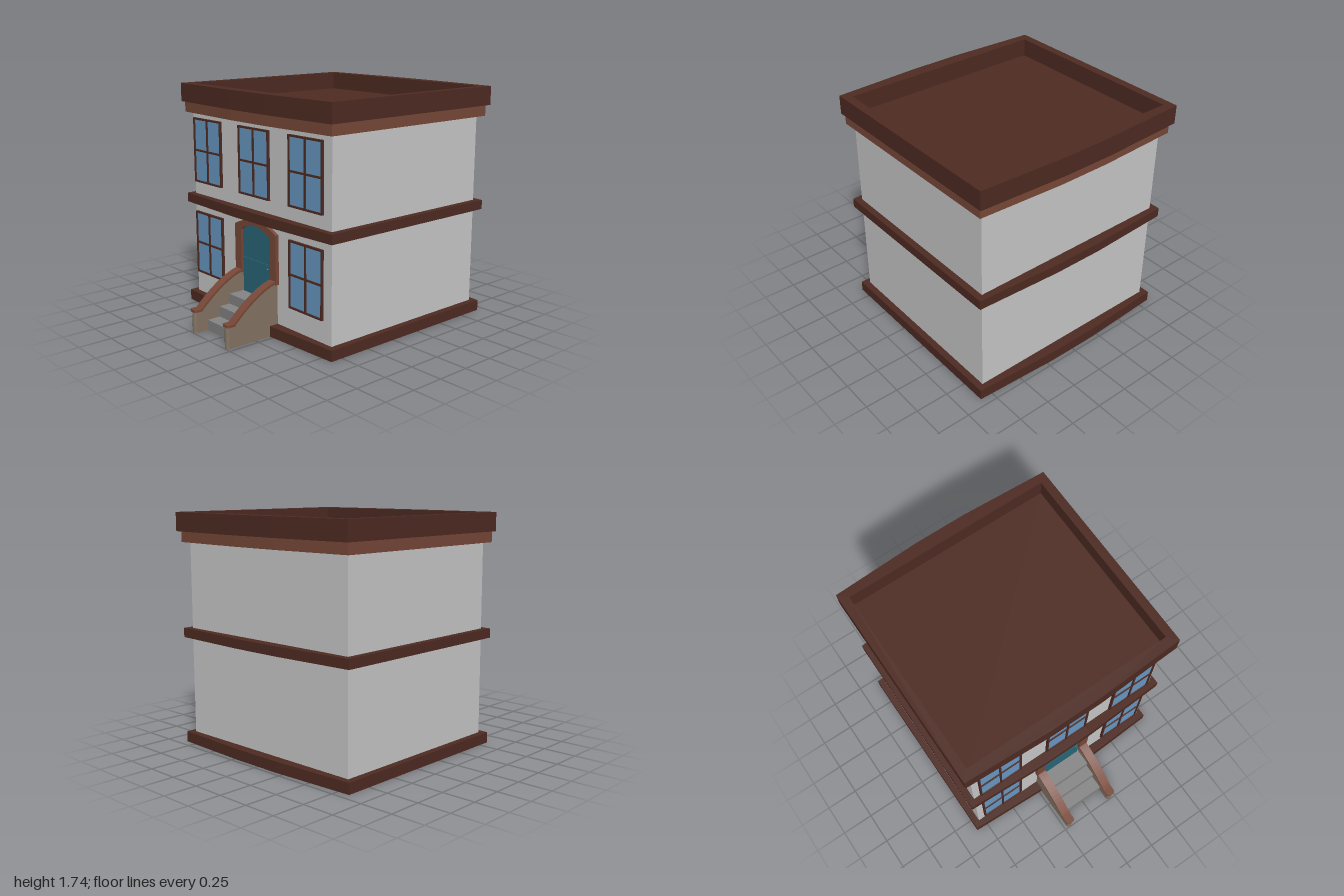
import * as THREE from 'three';

const mat = (name, color) => {
  const m = new THREE.MeshStandardMaterial({ color });
  m.name = name;
  return m;
};

export function createModel() {
  const house = new THREE.Group();
  house.name = 'townhouse';
  const wall = mat('pale wall', 0xc9c9c9);
  const brown = mat('dark brown trim', 0x4e2b22);
  const brick = mat('brick trim', 0x784838);
  const glass = mat('window glass', 0x6a9ac5);
  const teal = mat('door teal', 0x2a687a);
  const stone = mat('step stone', 0x858585);
  const tan = mat('tan stone', 0x857463);

  const add = (name, geo, m, x = 0, y = 0, z = 0, parent = house) => {
    const mesh = new THREE.Mesh(geo, m);
    mesh.name = name;
    mesh.position.set(x, y, z);
    parent.add(mesh);
    return mesh;
  };
  // Box given by its limits on each axis
  const box = (name, m, x0, x1, y0, y1, z0, z1, parent) =>
    add(name, new THREE.BoxGeometry(x1 - x0, y1 - y0, z1 - z0), m,
      (x0 + x1) / 2, (y0 + y1) / 2, (z0 + z1) / 2, parent);
  const extrude = (shape, depth) =>
    new THREE.ExtrudeGeometry(shape, { depth, bevelEnabled: false, curveSegments: 12 });
  const poly = pts => new THREE.Shape(pts.map(p => new THREE.Vector2(...p)));
  const rect = (x0, x1, y0, y1) => poly([[x0, y0], [x1, y0], [x1, y1], [x0, y1]]);

  // Walls
  box('walls', wall, -0.795, 0.795, 0.02, 1.58, -0.895, 0.55);

  // Horizontal bands, bowed outward at front and back
  const band = (name, m, hx, front, back, y0, y1, hole) => {
    const s = poly([[-hx, -front], [-0.2, -front - 0.03], [0.2, -front - 0.03], [hx, -front],
      [hx, -back], [0.2, -back + 0.03], [-0.2, -back + 0.03], [-hx, -back]]);
    if (hole) s.holes.push(hole);
    add(name, extrude(s, y1 - y0).rotateX(-Math.PI / 2), m, 0, y0, 0);
  };
  band('baseBand', brown, 0.845, 0.595, -0.94, 0, 0.08);
  band('middleBand', brown, 0.845, 0.595, -0.94, 0.81, 0.88);
  band('lowerCornice', brick, 0.84, 0.595, -0.94, 1.52, 1.6);
  band('parapet', brown, 0.86, 0.615, -0.97, 1.6, 1.74, rect(-0.795, 0.795, -0.545, 0.905));
  box('roofFloor', brown, -0.8, 0.8, 1.597, 1.605, -0.91, 0.55);

  // Windows: glass plate behind a four-pane frame
  const addWindow = (x, y0, y1) => {
    const g = new THREE.Group();
    g.name = 'window';
    g.position.set(x, 0, 0);
    house.add(g);
    const hw = 0.175, t = 0.014, h = 0.007, ym = (y0 + y1) / 2;
    const frame = rect(-hw, hw, y0, y1);
    for (const [a, b] of [[-hw + t, -h], [h, hw - t]])
      for (const [c, d] of [[y0 + t, ym - h], [ym + h, y1 - t]])
        frame.holes.push(rect(a, b, c, d));
    add('windowFrame', extrude(frame, 0.018), brown, 0, 0, 0.568, g);
    box('windowGlass', glass, -hw + 0.005, hw - 0.005, y0 + 0.005, y1 - 0.005, 0.57, 0.577, g);
  };
  for (const x of [-0.575, -0.005, 0.56]) addWindow(x, 0.985, 1.483);
  for (const x of [-0.575, 0.56]) addWindow(x, 0.255, 0.75);

  // Door with arched top, rails and knob
  const entry = new THREE.Group();
  entry.name = 'entry';
  entry.position.x = -0.004;
  house.add(entry);
  const arch = (path, hw, y0, spring, peak) => {
    path.moveTo(-hw, y0);
    path.lineTo(-hw, spring);
    path.quadraticCurveTo(0, 2 * peak - spring, hw, spring);
    path.lineTo(hw, y0);
    path.closePath();
    return path;
  };
  add('door', extrude(arch(new THREE.Shape(), 0.166, 0.22, 0.716, 0.768), 0.012), teal, 0, 0, 0.549, entry);
  box('doorRail', teal, -0.16, 0.16, 0.485, 0.505, 0.555, 0.567, entry);
  add('doorKnob', new THREE.SphereGeometry(0.009, 12, 8), teal, 0.135, 0.47, 0.569, entry);

  // Arched door surround
  const surround = new THREE.Shape();
  surround.moveTo(-0.24, 0.38);
  surround.lineTo(-0.24, 0.745);
  surround.quadraticCurveTo(0, 0.873, 0.24, 0.745);
  surround.lineTo(0.24, 0.38);
  surround.lineTo(0.165, 0.38);
  surround.lineTo(0.165, 0.716);
  surround.quadraticCurveTo(0, 0.82, -0.165, 0.716);
  surround.lineTo(-0.165, 0.38);
  surround.closePath();
  add('doorSurround', extrude(surround, 0.03), brick, 0, 0, 0.548, entry);

  // Steps
  [[0, 0.08, 0.885], [0.08, 0.16, 0.78], [0.16, 0.237, 0.69]].forEach(([y0, y1, z]) =>
    box('step', stone, -0.178, 0.178, y0, y1, 0.55, z));

  // Stair sides: stone cheek, rounded end and sweeping cap
  const sweep = new THREE.SplineCurve([[0.94, 0.178], [0.9, 0.217], [0.82, 0.283], [0.74, 0.337],
    [0.66, 0.379], [0.6, 0.401], [0.55, 0.412]].map(p => new THREE.Vector2(...p)))
    .getPoints(16).map(p => [p.x, p.y]);
  const under = sweep.map(([z, y]) => [z, y - 0.02]);
  const side = (shape, w) => extrude(shape, w).rotateY(-Math.PI / 2).translate(w / 2, 0, 0);
  const cheek = poly([[0.55, 0], [0.975, 0], [0.975, 0.165], [0.94, 0.165], ...under]);
  const cap = poly([...sweep, ...under.reverse()]);
  const tip = poly([[-0.035, -0.935], [-0.035, -0.985], [-0.028, -0.996], [-0.018, -1],
    [0.018, -1], [0.028, -0.996], [0.035, -0.985], [0.035, -0.935]]);
  for (const x of [-0.204, 0.196]) {
    const g = new THREE.Group();
    g.name = 'stairSide';
    g.position.x = x;
    house.add(g);
    add('cheek', side(cheek, 0.045), tan, 0, 0, 0, g);
    add('cheekEnd', new THREE.CylinderGeometry(0.0225, 0.0225, 0.165, 20), tan, 0, 0.0825, 0.975, g);
    add('railCap', side(cap, 0.07), brick, 0, 0, 0, g);
    add('railTip', extrude(tip, 0.018).rotateX(-Math.PI / 2), brick, 0, 0.16, 0, g);
  }
  return house;
}
